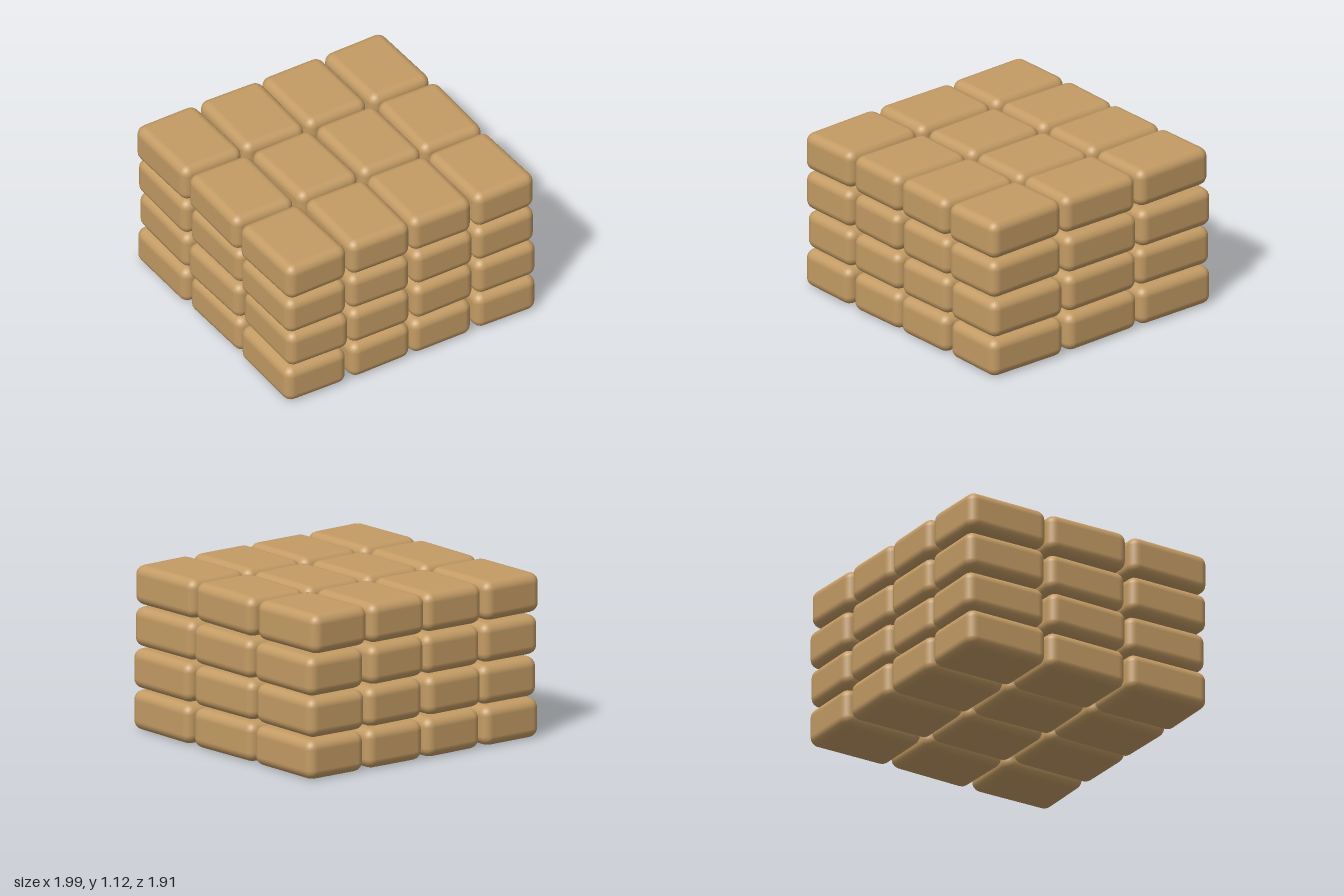
import * as THREE from 'three';
import { RoundedBoxGeometry } from 'three/addons/geometries/RoundedBoxGeometry.js';

// sideways shift of each sack, by layer (bottom first), row (back to front) and column
const SHIFT = [
  [[-0.01, 0.005, 0, 0.012], [0.005, -0.005, 0.005, 0.008], [-0.007, -0.003, -0.01, 0.008]],
  [[0.005, -0.01, 0.005, 0], [-0.01, 0.005, -0.005, 0.005], [0.012, 0, 0, 0.008]],
  [[-0.005, 0, -0.01, 0.012], [0.005, -0.01, 0, 0.01], [-0.007, 0, 0.002, -0.008]],
  [[-0.015, -0.012, -0.018, -0.015], [-0.012, -0.003, 0.002, -0.007], [-0.01, 0, -0.008, -0.012]],
];

export function createModel() {
  const group = new THREE.Group();
  group.name = 'sackStack';

  const burlap = new THREE.MeshStandardMaterial({ color: 0xc39b64 });
  burlap.name = 'burlap';

  const sackGeometry = new RoundedBoxGeometry(0.475, 0.27, 0.617, 3, 0.065);

  // layers of sacks, each slightly shifted and turned
  SHIFT.forEach((rows, layer) => {
    const layerGroup = new THREE.Group();
    layerGroup.name = `layer${layer + 1}`;
    rows.forEach((columns, row) => columns.forEach((shift, column) => {
      const sack = new THREE.Mesh(sackGeometry, burlap);
      sack.name = 'sack';
      sack.position.set((column - 1.5) * 0.493 + shift, 0.135 + layer * 0.285, (row - 1) * 0.642);
      sack.rotation.y = 0.022 * Math.sin(layer * 5.1 + row * 2.7 + column * 1.9);
      layerGroup.add(sack);
    }));
    group.add(layerGroup);
  });

  return group;
}
